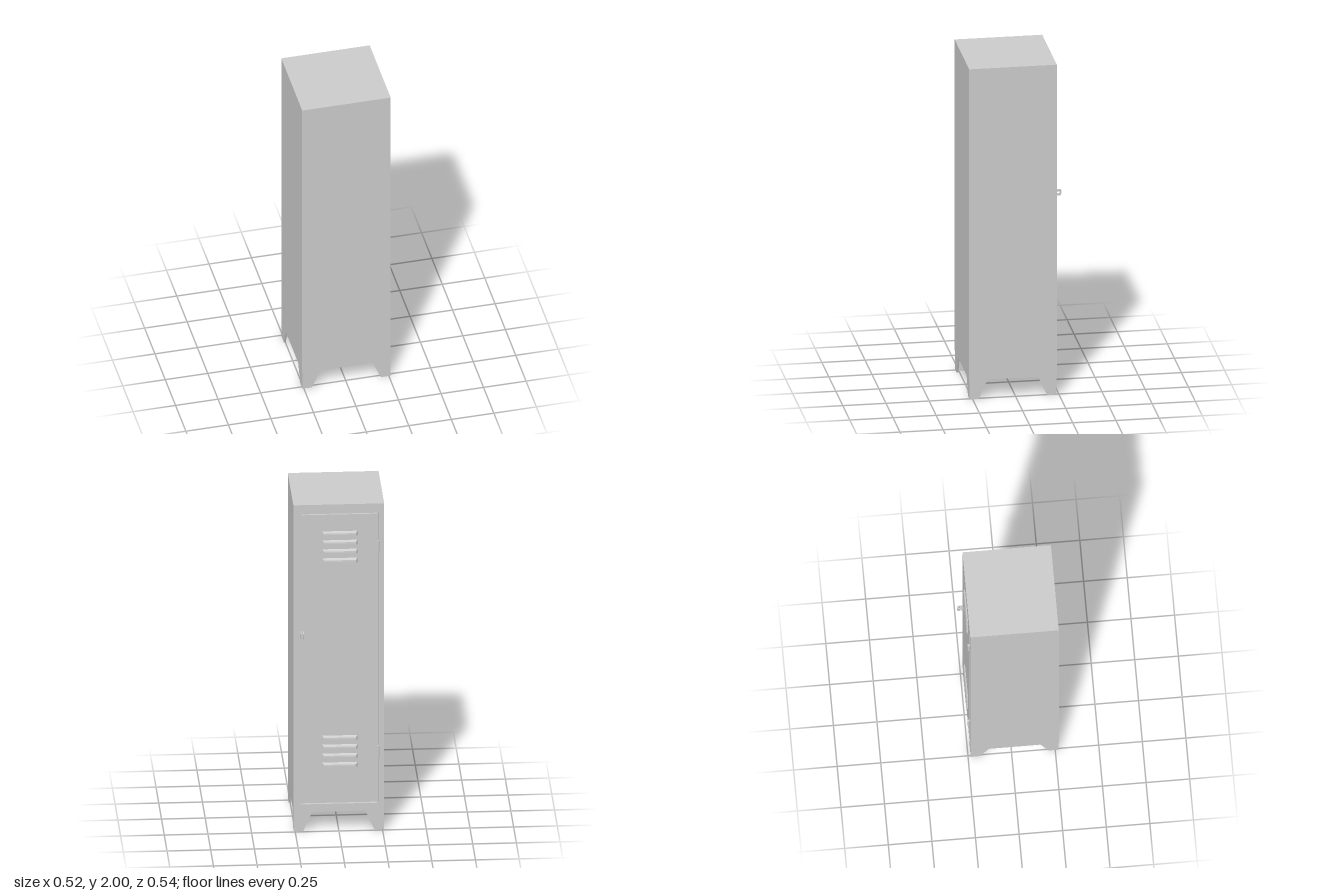
import * as THREE from 'three';

const grey = new THREE.MeshStandardMaterial({ color: 0xcccccc, flatShading: true });
const sheet = new THREE.MeshStandardMaterial({ color: 0xcccccc, flatShading: true, side: THREE.DoubleSide });

const W = 0.26, FRONT = 0.27, BACK = -0.237, BASE = 0.115, TOP = 2;
const RECESS = 0.018; // depth of the door opening

function rect(Type, x0, y0, x1, y1) {
  return new Type([[x0, y0], [x1, y0], [x1, y1], [x0, y1]].map(p => new THREE.Vector2(...p)));
}

function add(parent, name, geometry, x = 0, y = 0, z = 0, material = grey) {
  const mesh = new THREE.Mesh(geometry, material);
  mesh.name = name;
  mesh.position.set(x, y, z);
  parent.add(mesh);
  return mesh;
}

const extrude = (shape, depth) =>
  new THREE.ExtrudeGeometry(shape, { depth, bevelEnabled: false, curveSegments: 10 });

// Pressed vent: rows follow the curved hood, open at the bottom
function louverGeometry() {
  const profile = [[0, 0], [0.005, -0.003], [0.009, -0.011], [0.01, -0.02], [0.01, -0.028]];
  const half = 0.103, pos = [], index = [];
  for (const [d, y] of profile) {
    const x = half - d * 1.2;
    pos.push(half, y, 0, x, y, -d, -x, y, -d, -half, y, 0);
  }
  for (let r = 0; r < profile.length - 1; r++) {
    for (let c = 0; c < 3; c++) {
      const a = r * 4 + c, b = a + 4;
      index.push(a, b, a + 1, a + 1, b, b + 1);
    }
  }
  const g = new THREE.BufferGeometry();
  g.setAttribute('position', new THREE.Float32BufferAttribute(pos, 3));
  g.setIndex(index);
  g.computeVertexNormals();
  return g;
}

// Tapered L-shaped sheet foot for one corner
function foot(sx, sz) {
  const g = new THREE.Group();
  g.name = 'foot';
  const t = 0.01;
  const profile = s => new THREE.Shape([[0, 0], [0.055, 0], [0.105, BASE], [0, BASE]]
    .map(([u, y]) => new THREE.Vector2(-s * u, y)));
  const x = sx * (W - 0.002), z = sz > 0 ? FRONT - 0.002 : BACK + 0.002;
  add(g, 'footFace', extrude(profile(sx), t), x, 0, sz > 0 ? z - t : z);
  const side = add(g, 'footSide', extrude(profile(-sz), t), sx > 0 ? x - t : x, 0, z);
  side.rotation.y = Math.PI / 2;
  return g;
}

export function createModel() {
  const model = new THREE.Group();
  model.name = 'locker';

  // Cabinet body and door frame
  const depth = FRONT - BACK - RECESS;
  add(model, 'cabinetBody', new THREE.BoxGeometry(W * 2, TOP - BASE, depth),
    0, (TOP + BASE) / 2, FRONT - depth / 2);
  const frame = rect(THREE.Shape, -W, BASE, W, TOP);
  frame.holes.push(rect(THREE.Path, -0.226, 0.163, 0.22, 1.945));
  add(model, 'doorFrame', extrude(frame, RECESS), 0, 0, BACK);

  // Door with a slot behind every vent
  const door = new THREE.Group();
  door.name = 'door';
  model.add(door);
  const panel = rect(THREE.Shape, -0.219, 0.17, 0.213, 1.938);
  const vent = louverGeometry();
  for (const top of [1.836, 0.582]) {
    for (let i = 0; i < 4; i++) {
      const y = top - i * 0.055;
      panel.holes.push(rect(THREE.Path, -0.098, y - 0.028, 0.086, y - 0.008));
      add(door, 'louver', vent, -0.006, y, BACK, sheet);
    }
  }
  add(door, 'doorPanel', extrude(panel, RECESS - 0.004), 0, 0, BACK);

  // Hinge barrels
  for (const y of [1.738, 0.478]) {
    add(model, 'hinge', new THREE.CylinderGeometry(0.007, 0.007, 0.076, 12), -0.225, y, BACK - 0.006);
  }

  // Pair of padlock eyes, one on the door and one on the frame
  for (const [x, reach] of [[0.203, 0.035], [0.217, 0.032]]) {
    const h = 0.017, r = 0.01;
    const eye = new THREE.Shape();
    eye.moveTo(-0.004, -h).lineTo(reach - r, -h);
    eye.quadraticCurveTo(reach, -h, reach, -h + r).lineTo(reach, h - r);
    eye.quadraticCurveTo(reach, h, reach - r, h).lineTo(-0.004, h);
    const hole = new THREE.Path();
    hole.absarc(reach - 0.017, 0, 0.009, 0, Math.PI * 2, true);
    eye.holes.push(hole);
    const mesh = add(model, 'lockEye', extrude(eye, 0.005), x - 0.0025, 1.208, BACK);
    mesh.rotation.y = Math.PI / 2;
  }

  for (const sx of [-1, 1]) for (const sz of [-1, 1]) model.add(foot(sx, sz));
  return model;
}
